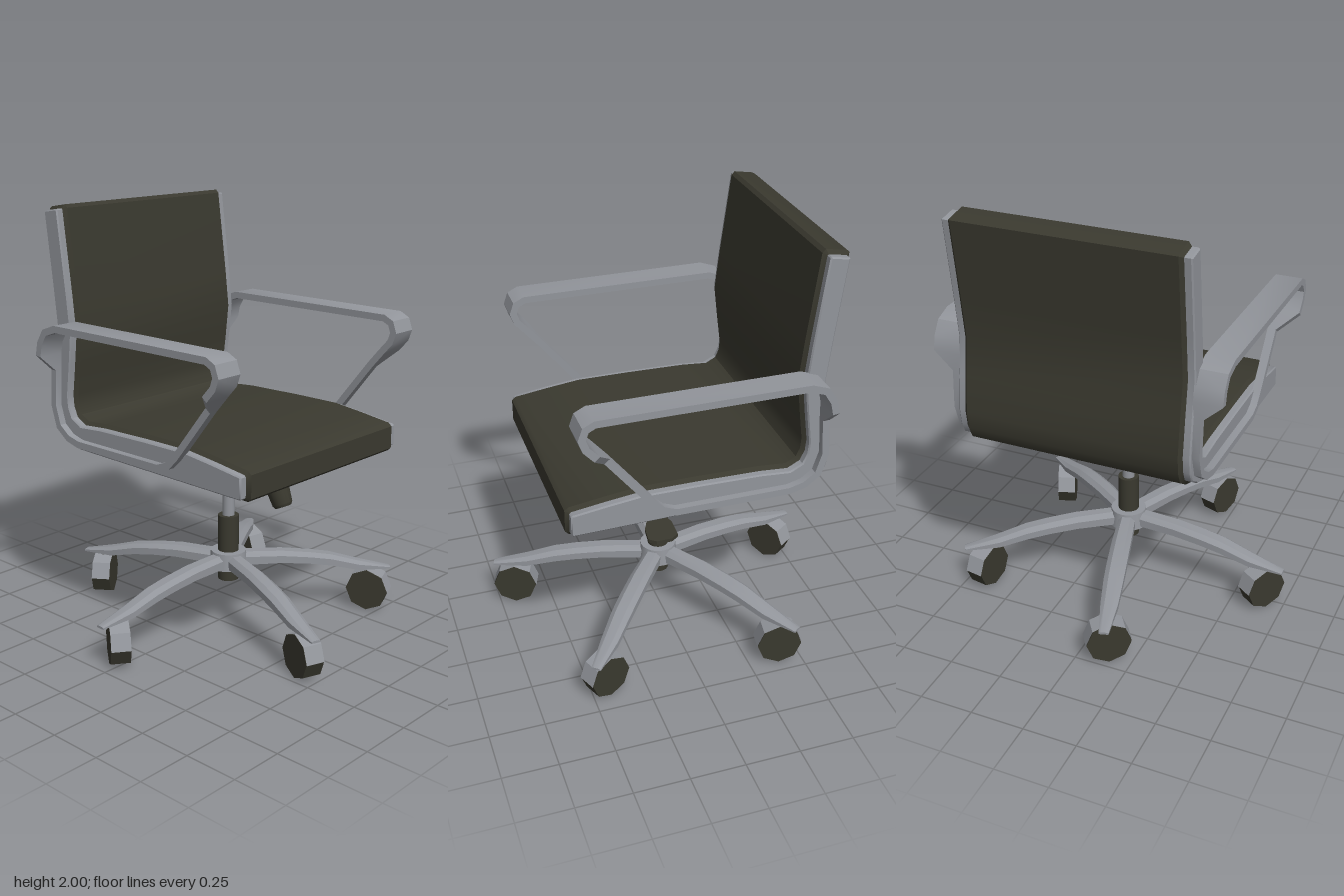
import * as THREE from 'three';
import { toCreasedNormals } from 'three/addons/utils/BufferGeometryUtils.js';

const V = (x, y, z) => new THREE.Vector3(x, y, z);
const RAD = Math.PI / 180;

// Skin a row of cross-sections (each counter-clockwise about the sweep direction)
function loft(rings, closed = false) {
  const n = rings[0].length, pos = [];
  const tri = (...pts) => pts.forEach(p => pos.push(p.x, p.y, p.z));
  const count = closed ? rings.length : rings.length - 1;
  for (let i = 0; i < count; i++) {
    const p = rings[i], q = rings[(i + 1) % rings.length];
    for (let j = 0; j < n; j++) {
      const k = (j + 1) % n;
      tri(p[j], p[k], q[k]);
      tri(p[j], q[k], q[j]);
    }
  }
  if (!closed) {
    const first = rings[0], last = rings[rings.length - 1];
    for (let j = 1; j < n - 1; j++) {
      tri(first[0], first[j + 1], first[j]);
      tri(last[0], last[j], last[j + 1]);
    }
  }
  const geo = new THREE.BufferGeometry();
  geo.setAttribute('position', new THREE.Float32BufferAttribute(pos, 3));
  return toCreasedNormals(geo, 0.6);
}

export function createModel() {
  const model = new THREE.Group();
  const chair = new THREE.Group();
  chair.name = 'chair';
  chair.position.x = 0.065;
  model.add(chair);

  const dark = new THREE.MeshStandardMaterial({ color: 0x3a392f });
  dark.name = 'dark upholstery';
  const metal = new THREE.MeshStandardMaterial({ color: 0x92959b });
  metal.name = 'grey metal';

  function add(name, geo, mat, parent = chair, x = 0, y = 0, z = 0) {
    const mesh = new THREE.Mesh(geo, mat);
    mesh.name = name;
    mesh.position.set(x, y, z);
    parent.add(mesh);
    return mesh;
  }
  const tube = (rTop, rBottom, y0, y1, sides = 20) =>
    new THREE.CylinderGeometry(rTop, rBottom, y1 - y0, sides).translate(0, (y0 + y1) / 2, 0);

  // Seat and back share one bent side profile, given as [z, y]
  const profile = new THREE.Shape([
    [0.56, 0.855], [0.2, 0.86], [-0.435, 0.87], [-0.52, 0.9], [-0.587, 0.945], [-0.61, 1.0],
    [-0.62, 1.08], [-0.6, 1.25], [-0.577, 1.42], [-0.6, 1.62], [-0.645, 1.975], [-0.63, 1.985],
    [-0.54, 2.0], [-0.525, 1.985], [-0.475, 1.6], [-0.455, 1.42], [-0.472, 1.27], [-0.49, 1.13],
    [-0.486, 1.08], [-0.468, 1.04], [-0.42, 1.015], [-0.29, 1.025], [0.0, 1.03], [0.245, 1.03],
    [0.4, 1.012], [0.56, 0.99], [0.577, 0.975], [0.577, 0.87],
  ].map(([z, y]) => new THREE.Vector2(z, y)));

  // Extrude the profile sideways from x0 to x1 with a chamfer, inset from its outline
  function slab(x0, x1, chamfer, inset) {
    const geo = new THREE.ExtrudeGeometry(profile, {
      depth: x1 - x0 - 2 * chamfer, bevelEnabled: true, bevelSegments: 1,
      bevelThickness: chamfer, bevelSize: chamfer, bevelOffset: -chamfer - inset,
    });
    geo.rotateY(-Math.PI / 2).translate(x1 - chamfer, 0, 0);
    return toCreasedNormals(geo, 0.6);
  }
  add('cushion', slab(-0.515, 0.515, 0.018, 0), dark);

  // Armrest loop: [z, y, outer x], wide at the top and narrow along the rail
  const wide = 0.67, thin = 0.58;
  const armPath = [
    [-0.44, 1.47, wide], [0.48, 1.47, wide], [0.52, 1.45, wide], [0.536, 1.405, wide],
    [0.52, 1.36, wide], [0.475, 1.31, wide], [0.41, 1.235, thin], [0.215, 0.99, thin],
    [0.17, 0.945, thin], [0.11, 0.922, thin], [-0.41, 0.922, thin], [-0.48, 0.94, thin],
    [-0.54, 0.985, thin], [-0.57, 1.08, thin], [-0.56, 1.25, thin], [-0.558, 1.33, wide],
    [-0.545, 1.39, wide], [-0.51, 1.445, wide],
  ];
  const armRings = armPath.map(([z, y, outer], i) => {
    const a = armPath.at(i - 1), b = armPath[(i + 1) % armPath.length];
    const t1 = new THREE.Vector2(z - a[0], y - a[1]).normalize();
    const t2 = new THREE.Vector2(b[0] - z, b[1] - y).normalize();
    const t = t1.clone().add(t2).normalize();
    const h = 0.016 / t.dot(t1);
    const dz = -t.y * h, dy = t.x * h;
    return [V(0.54, y - dy, z - dz), V(outer, y - dy, z - dz),
      V(outer, y + dy, z + dz), V(0.54, y + dy, z + dz)];
  });
  const railGeo = slab(0.48, 0.547, 0.006, 0.016);
  const armGeo = loft(armRings, true);
  for (const side of [1, -1]) {
    const half = new THREE.Group();
    half.name = side > 0 ? 'leftSide' : 'rightSide';
    half.scale.x = side;
    add('sideRail', railGeo, metal, half);
    add('armrest', armGeo, metal, half);
    chair.add(half);
  }

  // Tilt mechanism under the seat
  const rect = (y, hx, z0, z1) => [V(hx, y, z1), V(hx, y, z0), V(-hx, y, z0), V(-hx, y, z1)];
  add('mountingPlate', new THREE.BoxGeometry(0.5, 0.02, 0.58), dark, chair, 0, 0.855, 0.005);
  add('mechanismHousing', loft([rect(0.775, 0.1, -0.17, 0.175), rect(0.86, 0.14, -0.225, 0.21)]), dark);

  // Tension knob, slanting down to the front
  const knob = new THREE.LatheGeometry([
    [0, -0.245], [0.038, -0.245], [0.047, -0.232], [0.061, -0.08], [0.055, -0.07],
    [0.03, -0.07], [0.03, 0],
  ].map(p => new THREE.Vector2(...p)), 16);
  add('tensionKnob', toCreasedNormals(knob, 0.6), dark, chair, 0, 0.875, 0.24).rotation.x = -0.42;

  // Height lever: cranked rod with a flat paddle
  const rod = new THREE.CurvePath();
  const bends = [V(0.08, 0.79, 0.1), V(0.165, 0.79, 0.1), V(0.225, 0.742, 0.1), V(0.33, 0.742, 0.12)];
  for (let i = 0; i < 3; i++) rod.add(new THREE.LineCurve3(bends[i], bends[i + 1]));
  add('leverRod', new THREE.TubeGeometry(rod, 24, 0.012, 8), metal);
  const paddle = new THREE.Shape([
    [0.305, 0.1], [0.4, 0.07], [0.5, 0.075], [0.525, 0.11], [0.525, 0.18], [0.5, 0.21],
    [0.42, 0.2], [0.305, 0.145],
  ].map(p => new THREE.Vector2(...p)));
  const paddleGeo = new THREE.ExtrudeGeometry(paddle, { depth: 0.016, bevelEnabled: false });
  add('leverPaddle', paddleGeo.rotateX(Math.PI / 2), dark, chair, 0, 0.75, 0);

  // Gas column
  add('columnCollar', tube(0.063, 0.063, 0.73, 0.78), dark);
  add('columnCollarTaper', tube(0.063, 0.045, 0.705, 0.73), dark);
  add('piston', tube(0.03, 0.03, 0.5, 0.72), metal);
  add('columnSleeve', tube(0.05, 0.05, 0.205, 0.53), dark);
  add('hub', tube(0.085, 0.095, 0.27, 0.352), metal);

  // Star base leg: [distance, top, bottom, half width]
  const legGeo = loft([
    [0.04, 0.343, 0.28, 0.04], [0.26, 0.335, 0.28, 0.046], [0.4, 0.318, 0.267, 0.047],
    [0.505, 0.3, 0.25, 0.046], [0.645, 0.257, 0.215, 0.04], [0.81, 0.215, 0.204, 0.022],
  ].map(([r, top, bottom, w]) => {
    const mid = top - (top - bottom) * 0.35;
    return [V(r, top, -w * 0.5), V(r, top, w * 0.5), V(r, mid, w),
      V(r, bottom, w), V(r, bottom, -w), V(r, mid, -w)];
  }));

  // Caster: dark eight-sided wheel with a grey hood over its upper half
  const wheelGeo = toCreasedNormals(
    new THREE.CylinderGeometry(0.103, 0.103, 0.09, 8).rotateX(Math.PI / 2), 0.6);
  const hoodGeo = toCreasedNormals(new THREE.CylinderGeometry(
    0.106, 0.106, 0.09, 4, 1, true, Math.PI / 2, Math.PI).rotateX(Math.PI / 2), 0.6);

  // Leg direction and caster swivel, in degrees from +x towards +z
  for (const [legAngle, swivel] of [[38, 68], [110, 110], [182, 126], [254, 145], [326, 100]]) {
    const leg = new THREE.Group();
    leg.name = 'baseLeg';
    leg.rotation.y = -legAngle * RAD;
    add('legArm', legGeo, metal, leg);
    add('casterStem', tube(0.02, 0.02, 0.18, 0.225, 10), dark, leg, 0.706, 0, 0);
    const caster = new THREE.Group();
    caster.name = 'caster';
    caster.position.set(0.706, 0.105, 0);
    caster.rotation.y = (legAngle - swivel) * RAD;
    add('wheel', wheelGeo, dark, caster);
    add('wheelHood', hoodGeo, metal, caster);
    leg.add(caster);
    chair.add(leg);
  }
  return model;
}
